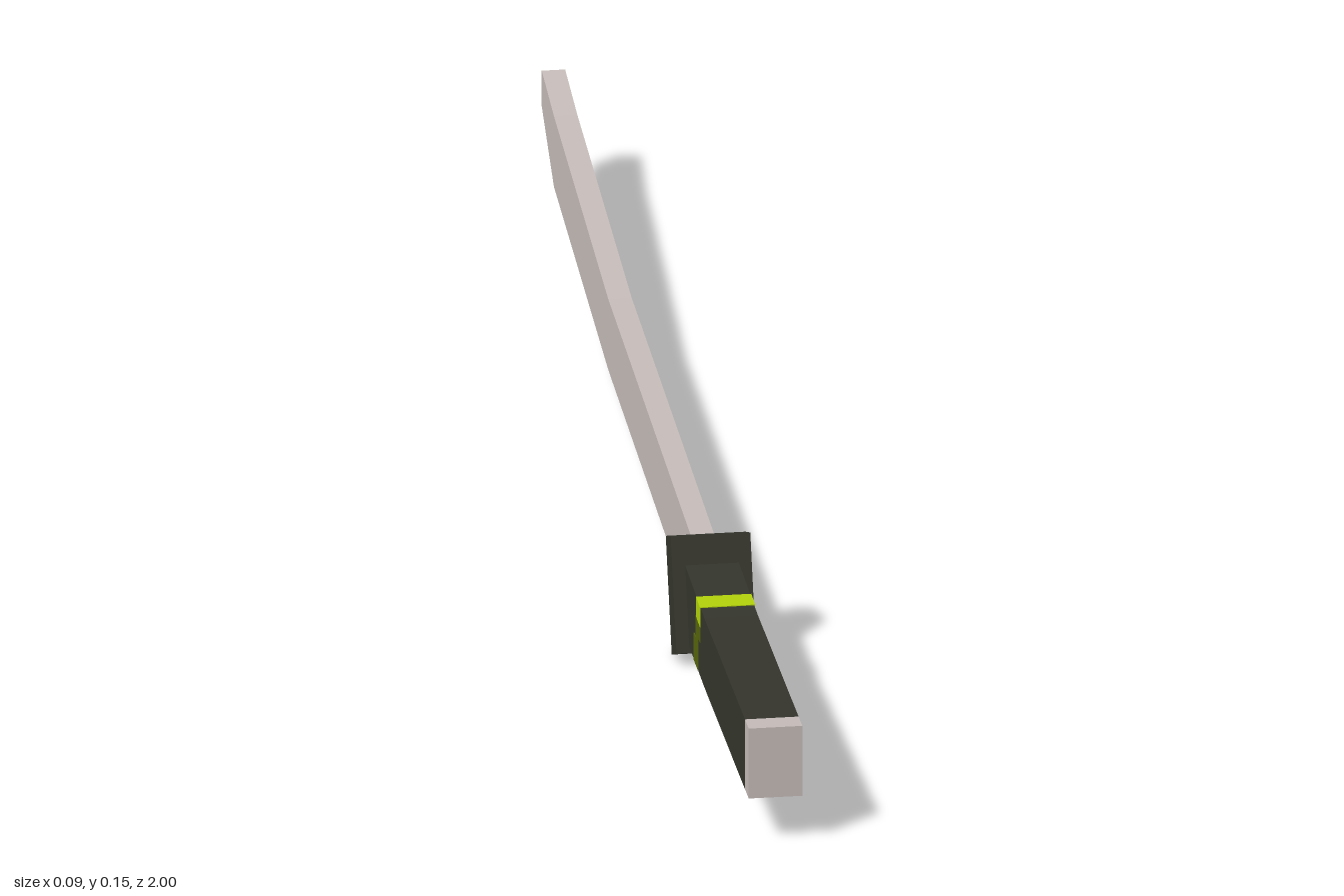
import * as THREE from 'three';

export function createModel() {
  const model = new THREE.Group();
  model.name = 'curvedSword';

  const material = (name, color) => {
    const m = new THREE.MeshStandardMaterial({ color });
    m.name = name;
    return m;
  };
  const steel = material('pale steel', 0xc6bcb9);
  const wrap = material('dark wrap', 0x34352c);
  const lime = material('lime', 0xb2d20c);
  const olive = material('olive', 0x56640c);

  // Extrudes a side profile of [z, y] points across x, centred on x = offset
  function addSlab(name, points, width, mat, offset = 0) {
    const shape = new THREE.Shape(points.map(([z, y]) => new THREE.Vector2(z, y)));
    const geometry = new THREE.ExtrudeGeometry(shape, { depth: width, bevelEnabled: false });
    geometry.translate(0, 0, -width / 2);
    geometry.rotateY(-Math.PI / 2);
    const mesh = new THREE.Mesh(geometry, mat);
    mesh.name = name;
    mesh.position.x = offset;
    model.add(mesh);
  }

  // Blade with a gentle upward curve and a clipped tip
  addSlab('blade', [
    [0.42, 0.024], [0.42, 0.118], [-0.4, 0.106], [-0.89, 0.134],
    [-1, 0.146], [-1, 0.1], [-0.89, 0.043], [-0.4, 0.015],
  ], 0.028, steel);

  // Tilted guard
  addSlab('guard', [[0.467, 0.019], [0.415, 0.148], [0.37, 0.13], [0.424, 0]], 0.095, wrap);

  // Grip and its pale end cap
  addSlab('grip', [
    [0.41, 0.025], [0.41, 0.115], [0.6, 0.121], [0.967, 0.146], [0.967, 0.056], [0.6, 0.032],
  ], 0.064, wrap);
  addSlab('endCap', [[0.967, 0.056], [0.967, 0.146], [1, 0.148], [1, 0.058]], 0.064, steel);

  // Lime band over the top of the grip
  addSlab('topBand', [[0.533, 0.095], [0.533, 0.12], [0.568, 0.121], [0.568, 0.095]], 0.066, lime);

  // Stepped olive tail of the band on both sides
  for (const side of [-1, 1]) {
    addSlab('sideBand', [
      [0.568, 0.095], [0.568, 0.075], [0.55, 0.075], [0.55, 0.032], [0.512, 0.03],
      [0.512, 0.065], [0.53, 0.065], [0.53, 0.095],
    ], 0.002, olive, side * 0.032);
  }

  return model;
}
